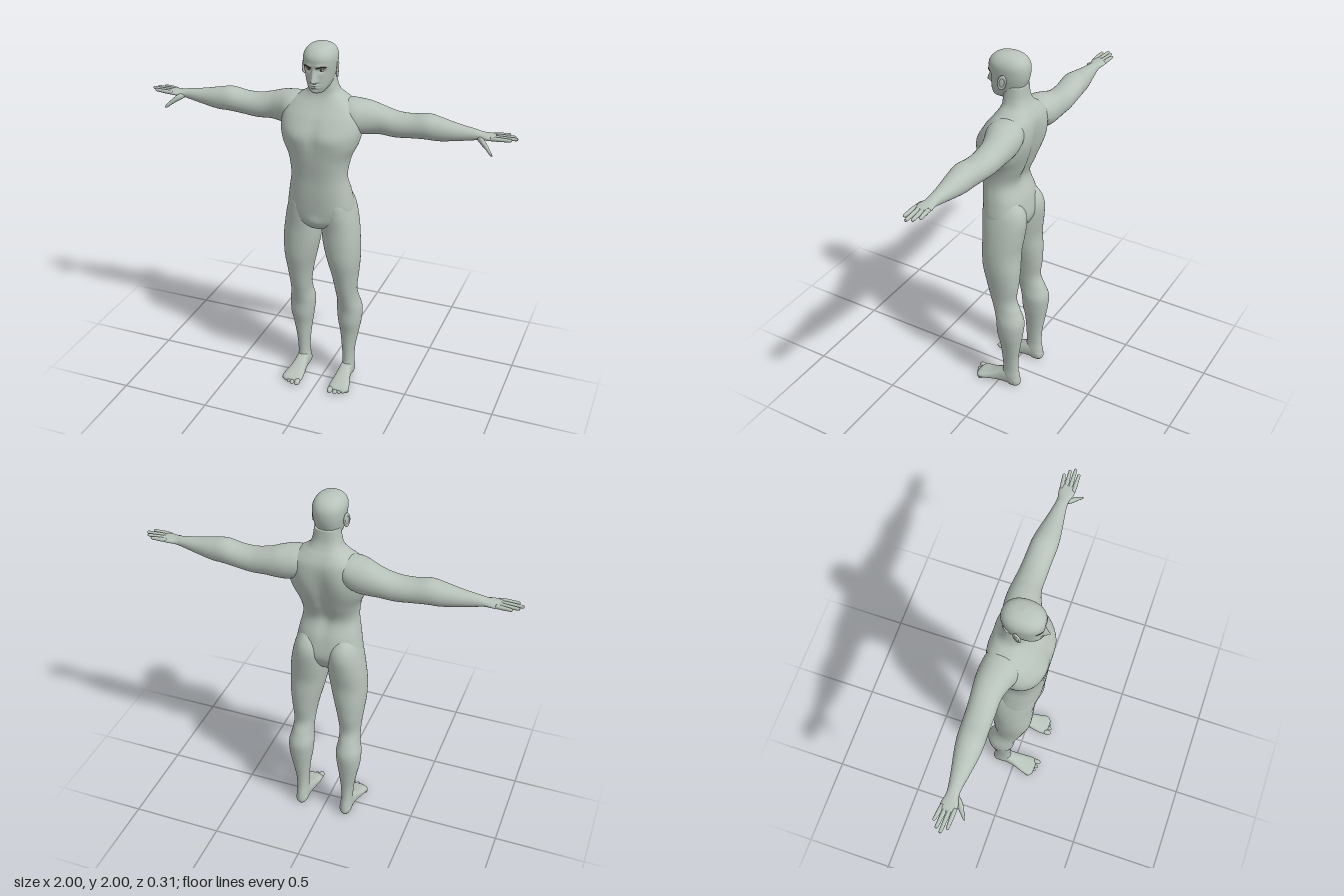
import * as THREE from 'three';

const AXES = { x: ['x', 'y', 'z'], y: ['y', 'z', 'x'], z: ['z', 'x', 'y'] };
const bell = (v, w) => Math.exp(-(v * v) / (w * w));

// Smooth skin through rows [t, aLow, aHigh, bLow, bHigh] along an axis (t ascending);
// a and b are the next two axes in cyclic order. e rounds (2) or squares (>2) the section.
function loft(axis, rows, { n = 32, steps = 5, e = 2, sculpt = null } = {}) {
  const [T, A, B] = AXES[axis];
  const pos = [], index = [], p = new THREE.Vector3();
  const add = (t, a, b) => {
    p[T] = t; p[A] = a; p[B] = b;
    if (sculpt) sculpt(p);
    pos.push(p.x, p.y, p.z);
  };
  const at = (u) => {
    const i = Math.min(Math.floor(u), rows.length - 2), f = u - i;
    const R = (k) => rows[Math.max(0, Math.min(rows.length - 1, k))];
    return R(i).map((p1, c) => {
      const p0 = R(i - 1)[c], p2 = R(i + 1)[c], p3 = R(i + 2)[c];
      return p1 + 0.5 * f * (p2 - p0 + f * (2 * p0 - 5 * p1 + 4 * p2 - p3 + f * (3 * (p1 - p2) + p3 - p0)));
    });
  };
  const pow = (v) => Math.sign(v) * Math.abs(v) ** (2 / e);
  const m = (rows.length - 1) * steps;
  for (let i = 0; i <= m; i++) {
    const [t, a0, a1, b0, b1] = at(i / steps);
    for (let j = 0; j < n; j++) {
      const w = (j / n) * Math.PI * 2;
      add(t, (a0 + a1) / 2 + pow(Math.cos(w)) * (a1 - a0) / 2, (b0 + b1) / 2 + pow(Math.sin(w)) * (b1 - b0) / 2);
    }
  }
  for (let i = 0; i < m; i++) for (let j = 0; j < n; j++) {
    const a = i * n + j, b = i * n + (j + 1) % n;
    index.push(a, b, b + n, a, b + n, a + n);
  }
  // closed ends
  for (const [row, base, first] of [[rows[0], 0, true], [rows[rows.length - 1], m * n, false]]) {
    const c = pos.length / 3;
    add(row[0], (row[1] + row[2]) / 2, (row[3] + row[4]) / 2);
    for (let j = 0; j < n; j++) {
      const a = base + j, b = base + (j + 1) % n;
      if (first) index.push(c, b, a); else index.push(c, a, b);
    }
  }
  const g = new THREE.BufferGeometry();
  g.setAttribute('position', new THREE.Float32BufferAttribute(pos, 3));
  g.setIndex(index);
  g.computeVertexNormals();
  return g;
}

// Mirrored copy across x = 0 with the winding kept outward
function mirror(geo) {
  const g = geo.clone().scale(-1, 1, 1), ix = g.index;
  for (let i = 0; i < ix.count; i += 3) {
    const b = ix.getX(i + 1);
    ix.setX(i + 1, ix.getX(i + 2));
    ix.setX(i + 2, b);
  }
  return g;
}

function ball(x, y, z, rx, ry, rz) {
  return new THREE.SphereGeometry(1, 20, 14).scale(rx, ry, rz).translate(x, y, z);
}

export function createModel() {
  const model = new THREE.Group();
  const mat = (name, color) => Object.assign(new THREE.MeshStandardMaterial({ color }), { name });
  const skin = mat('skin', 0xb7c2ba), dark = mat('brow', 0x4a3b36), white = mat('eyeWhite', 0xd8dad6);
  const add = (name, geo, material = skin) => {
    const mesh = new THREE.Mesh(geo, material);
    mesh.name = name;
    model.add(mesh);
    return mesh;
  };
  const pair = (name, geo, material) => {
    add('left' + name, geo, material);
    add('right' + name, mirror(geo), material);
  };
  // rows [y, back, front, halfWidth] for parts centred on x = 0
  const centred = (rows) => rows.map(([y, b, f, w]) => [y, b, f, -w, w]);

  // Torso and neck, with chest, shoulder blades, spine and groin shaped in
  add('torso', loft('y', centred([
    [0.985, -0.03, 0.05, 0.015], [1.0, -0.07, 0.085, 0.06], [1.04, -0.1, 0.112, 0.14],
    [1.1, -0.118, 0.122, 0.178], [1.2, -0.102, 0.13, 0.166], [1.3, -0.07, 0.134, 0.149],
    [1.4, -0.105, 0.145, 0.163], [1.48, -0.13, 0.15, 0.198], [1.55, -0.143, 0.142, 0.213],
    [1.62, -0.15, 0.108, 0.208], [1.67, -0.146, 0.07, 0.182], [1.71, -0.128, 0.044, 0.125],
    [1.74, -0.108, 0.034, 0.088], [1.78, -0.092, 0.034, 0.072], [1.84, -0.086, 0.03, 0.064],
  ]), {
    n: 80, e: 2.4, steps: 6, sculpt: (p) => {
      const { x, y } = p, ax = Math.abs(x);
      if (p.z > 0) {
        p.z += 0.009 * bell(ax - 0.09, 0.07) * bell(y - 1.53, 0.05);
        p.z -= 0.006 * bell(x, 0.02) * bell(y - 1.55, 0.09);
        p.z += 0.008 * bell(x, 0.035) * bell(y - 1.05, 0.03);
      } else {
        p.z += 0.016 * bell(x, 0.035) * bell(y - 1.42, 0.2);
        p.z -= 0.01 * bell(ax - 0.1, 0.05) * bell(y - 1.56, 0.08);
      }
    },
  }));

  // Head, with nose, brow, eye sockets, lips and chin shaped in
  const head = add('head', loft('y', centred([
    [1.756, 0.03, 0.08, 0.015], [1.765, 0.0, 0.096, 0.036], [1.79, -0.04, 0.104, 0.054],
    [1.82, -0.07, 0.106, 0.066], [1.86, -0.088, 0.108, 0.075], [1.9, -0.097, 0.114, 0.081],
    [1.94, -0.096, 0.117, 0.082], [1.97, -0.08, 0.1, 0.07], [1.99, -0.048, 0.068, 0.046],
    [2.0, 0.005, 0.015, 0.005],
  ]), {
    n: 120, e: 2.25, steps: 10, sculpt: (p) => {
      const { x, y } = p, ax = Math.abs(x);
      if (p.z < 0.02) return;
      const slope = y > 1.826 ? Math.max(0, 1 - (y - 1.826) / 0.075) : bell(y - 1.826, 0.009);
      p.z += 0.036 * slope * bell(x, 0.009 + 0.006 * slope);
      p.z += 0.006 * bell(ax - 0.03, 0.03) * bell(y - 1.905, 0.011);
      p.z -= 0.012 * bell(ax - 0.033, 0.018) * bell(y - 1.883, 0.013);
      p.z += 0.009 * bell(x, 0.022) * (bell(y - 1.804, 0.005) + bell(y - 1.792, 0.005));
      p.z += 0.006 * bell(x, 0.02) * bell(y - 1.77, 0.01);
    },
  }));

  // Eyes and brows are set onto the face surface
  head.updateMatrixWorld();
  const ray = new THREE.Raycaster();
  const onFace = (x, y) => {
    ray.set(new THREE.Vector3(x, y, 1), new THREE.Vector3(0, 0, -1));
    const hit = ray.intersectObject(head)[0];
    return new THREE.Vector3(x, y, hit ? hit.point.z : 0.1);
  };
  const eye = onFace(0.033, 1.883);
  pair('Eye', ball(eye.x, eye.y, eye.z - 0.003, 0.014, 0.006, 0.007), white);
  pair('Iris', ball(eye.x, eye.y, eye.z + 0.002, 0.006, 0.0055, 0.003), dark);
  const browLine = new THREE.CatmullRomCurve3(
    [[0.013, 1.895], [0.026, 1.9], [0.042, 1.904], [0.058, 1.898]].map(([x, y]) => onFace(x, y)));
  pair('Brow', new THREE.TubeGeometry(browLine, 16, 0.0035, 8), dark);

  // Ears: rim and inner shell
  const tilt = (g) => g.rotateY(Math.PI / 2 + 0.35).rotateX(-0.15).translate(0.087, 1.868, 0.006);
  pair('EarRim', tilt(new THREE.TorusGeometry(0.018, 0.006, 10, 28).scale(0.95, 1.7, 1)));
  pair('EarShell', tilt(new THREE.SphereGeometry(1, 16, 12).scale(0.017, 0.03, 0.006)));

  // Arms: shoulder to knuckles, rows [x, yLow, yHigh, zBack, zFront]
  pair('Arm', loft('x', [
    [0.06, 1.59, 1.69, -0.11, 0.0], [0.12, 1.55, 1.705, -0.14, 0.035], [0.18, 1.525, 1.704, -0.151, 0.045],
    [0.24, 1.525, 1.694, -0.152, 0.02], [0.3, 1.529, 1.675, -0.148, 0.002], [0.38, 1.525, 1.656, -0.142, 0.0],
    [0.46, 1.533, 1.656, -0.138, 0.0], [0.54, 1.54, 1.669, -0.134, 0.003], [0.61, 1.541, 1.658, -0.124, -0.002],
    [0.7, 1.556, 1.64, -0.105, -0.015], [0.78, 1.572, 1.629, -0.09, -0.026], [0.82, 1.582, 1.62, -0.088, -0.024],
    [0.85, 1.586, 1.617, -0.094, -0.014], [0.885, 1.59, 1.615, -0.096, -0.011], [0.905, 1.596, 1.61, -0.088, -0.018],
  ], { n: 40, e: 2.1 }));

  // Fingers [base z, tip z, tip x] and thumb
  [[-0.085, -0.096, 0.955], [-0.064, -0.074, 0.985], [-0.043, -0.049, 1.0], [-0.022, -0.023, 0.975]].forEach(([z0, z1, tip], i) => {
    const ring = (x, k, r) => [x, 1.605 + 0.004 * k - r, 1.605 + 0.004 * k + r, z0 + (z1 - z0) * k - r, z0 + (z1 - z0) * k + r];
    pair('Finger' + (i + 1), loft('x', [
      ring(0.87, 0, 0.009), ring(0.9, 0.25, 0.011), ring(0.5 * (0.9 + tip), 0.6, 0.0095),
      ring(tip - 0.008, 0.95, 0.008), ring(tip - 0.002, 1, 0.005), ring(tip, 1, 0.001),
    ], { n: 14, steps: 3 }));
  });
  pair('Thumb', loft('x', [
    [0.805, 1.582, 1.602, -0.045, -0.025], [0.83, 1.568, 1.604, -0.034, 0.0], [0.86, 1.551, 1.58, -0.012, 0.016],
    [0.88, 1.536, 1.559, 0.008, 0.027], [0.892, 1.533, 1.545, 0.02, 0.031], [0.895, 1.536, 1.539, 0.025, 0.028],
  ], { n: 16, steps: 4 }));

  // Legs: heel to buttock, rows [y, zBack, zFront, xInner, xOuter]
  pair('Leg', loft('y', [
    [0.004, -0.122, -0.05, 0.112, 0.156], [0.025, -0.133, -0.035, 0.102, 0.166], [0.065, -0.128, -0.022, 0.1, 0.169],
    [0.12, -0.119, -0.028, 0.104, 0.167], [0.2, -0.12, -0.024, 0.1, 0.173], [0.3, -0.134, -0.016, 0.089, 0.191],
    [0.38, -0.146, 0.0, 0.077, 0.206], [0.46, -0.151, 0.006, 0.071, 0.209], [0.53, -0.128, 0.024, 0.079, 0.195],
    [0.6, -0.102, 0.045, 0.076, 0.191], [0.7, -0.112, 0.07, 0.06, 0.201], [0.8, -0.115, 0.093, 0.036, 0.212],
    [0.9, -0.112, 0.1, 0.014, 0.213], [1.0, -0.126, 0.102, 0.003, 0.204], [1.1, -0.135, 0.11, 0.003, 0.185],
    [1.17, -0.112, 0.105, 0.025, 0.16], [1.24, -0.04, 0.05, 0.07, 0.11],
  ], { n: 44, e: 2.15 }));

  // Feet, rows [z, xInner, xOuter, yLow, yHigh], and toes
  pair('Foot', loft('z', [
    [-0.128, 0.122, 0.15, 0.012, 0.05], [-0.11, 0.103, 0.165, 0.002, 0.075], [-0.05, 0.099, 0.168, 0.002, 0.105],
    [0.0, 0.094, 0.174, 0.002, 0.083], [0.05, 0.087, 0.188, 0.002, 0.056], [0.09, 0.083, 0.199, 0.001, 0.042],
    [0.115, 0.086, 0.196, 0.003, 0.034], [0.13, 0.1, 0.175, 0.008, 0.024],
  ], { n: 36, e: 2.4 }));
  [[0.1, 0.13, 0.016], [0.13, 0.132, 0.012], [0.153, 0.124, 0.011], [0.173, 0.113, 0.0105], [0.191, 0.1, 0.01]].forEach(([x, z, r], i) =>
    pair('Toe' + (i + 1), ball(x, r, z, r, r, r * 1.6)));

  return model;
}
